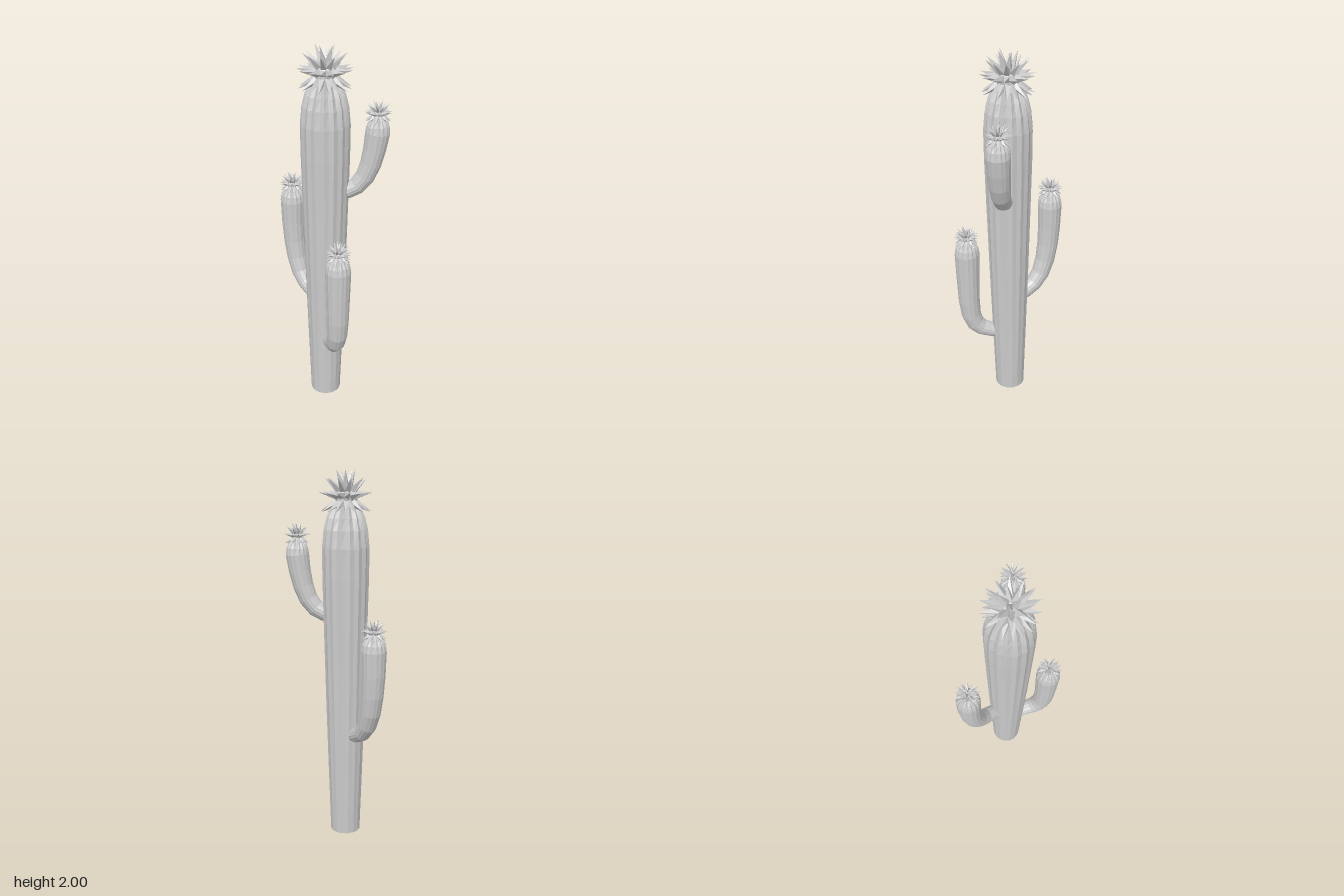
import * as THREE from 'three';
import { mergeGeometries } from 'three/addons/utils/BufferGeometryUtils.js';

const AXIS = { x: 0.03, z: 0.04 }; // centre line of the trunk
const SEGMENTS = 32, RIBS = 16;

const material = new THREE.MeshStandardMaterial({
  color: 0xcccccc, flatShading: true, side: THREE.DoubleSide,
});

// Ribbed stem swept along a path in a vertical plane through the trunk axis.
// Stations: [distance from axis, height, radius, rib depth as a fraction of the radius]
function ribbedStem(stations, angle) {
  const out = new THREE.Vector3(Math.cos(angle), 0, Math.sin(angle));
  const side = new THREE.Vector3(-out.z, 0, out.x);
  const positions = [], index = [];
  stations.forEach(([d, y, radius, depth], i) => {
    const a = stations[Math.max(i - 1, 0)], b = stations[Math.min(i + 1, stations.length - 1)];
    const length = Math.hypot(b[0] - a[0], b[1] - a[1]);
    const along = (b[0] - a[0]) / length, up = (b[1] - a[1]) / length;
    for (let j = 0; j < SEGMENTS; j++) {
      const t = (j / SEGMENTS) * Math.PI * 2;
      const r = radius * (1 - depth * (0.5 - 0.5 * Math.cos(t * RIBS)));
      const u = r * Math.cos(t), v = r * Math.sin(t);
      positions.push(
        AXIS.x + out.x * (d + u * up) + side.x * v,
        y - u * along,
        AXIS.z + out.z * (d + u * up) + side.z * v,
      );
      if (i > 0) {
        const k = (j + 1) % SEGMENTS, p = (i - 1) * SEGMENTS, q = i * SEGMENTS;
        index.push(p + j, q + j, p + k, p + k, q + j, q + k);
      }
    }
  });
  // Close the tip; the base stays open
  const last = stations[stations.length - 1], tip = positions.length / 3;
  positions.push(AXIS.x + out.x * last[0], last[1], AXIS.z + out.z * last[0]);
  for (let j = 0; j < SEGMENTS; j++) {
    index.push(tip - SEGMENTS + j, tip, tip - SEGMENTS + ((j + 1) % SEGMENTS));
  }
  const geometry = new THREE.BufferGeometry();
  geometry.setAttribute('position', new THREE.Float32BufferAttribute(positions, 3));
  geometry.setIndex(index);
  geometry.computeVertexNormals();
  return geometry;
}

// Rings of spikes around a small core: [elevation in degrees, count, length]
const SPIKE_RINGS = [
  [70, 5, 1.0], [42, 10, 0.98], [10, 14, 0.95], [-28, 16, 1.0],
];

function spikyCrown(size) {
  const parts = [new THREE.IcosahedronGeometry(size * 0.42, 1)];
  const up = new THREE.Vector3(0, 1, 0);
  SPIKE_RINGS.forEach(([elevation, count, length], ring) => {
    const e = THREE.MathUtils.degToRad(elevation);
    for (let i = 0; i < count; i++) {
      const a = ((i + (ring % 2) * 0.5) / count) * Math.PI * 2;
      const direction = new THREE.Vector3(
        Math.cos(e) * Math.cos(a), Math.sin(e), Math.cos(e) * Math.sin(a));
      const inner = size * 0.32, height = size * length - inner;
      const cone = new THREE.ConeGeometry(size * 0.15, height, 4, 1, true).toNonIndexed();
      cone.translate(0, inner + height / 2, 0);
      cone.applyQuaternion(new THREE.Quaternion().setFromUnitVectors(up, direction));
      parts.push(cone);
    }
  });
  return mergeGeometries(parts);
}

function addPart(group, name, geometry) {
  const mesh = new THREE.Mesh(geometry, material);
  mesh.name = name;
  group.add(mesh);
  return mesh;
}

// Arm: bend is a list of [distance, height]; it thickens outward and ends in a dome and crown
function addArm(group, name, angle, bend, reach, shoulder, radius) {
  const stations = bend.map(([d, y], i) =>
    [d, y, THREE.MathUtils.lerp(0.038, radius, i / bend.length), 0.03]);
  stations.push(
    [reach, shoulder, radius, 0.04],
    [reach, shoulder + 0.035, radius * 0.92, 0.08],
    [reach, shoulder + 0.065, radius * 0.72, 0.14],
    [reach, shoulder + 0.085, radius * 0.45, 0.14],
  );
  const arm = new THREE.Group();
  arm.name = name;
  addPart(arm, name + 'Stem', ribbedStem(stations, angle));
  const crown = addPart(arm, name + 'Crown', spikyCrown(0.073));
  crown.position.set(
    AXIS.x + Math.cos(angle) * reach, shoulder + 0.095, AXIS.z + Math.sin(angle) * reach);
  group.add(arm);
}

export function createModel() {
  const model = new THREE.Group();
  model.name = 'cactus';

  // Trunk, widening upward and closing in a ribbed dome
  addPart(model, 'trunk', ribbedStem([
    [0, 0, 0.083, 0.02], [0, 0.4, 0.096, 0.03], [0, 0.8, 0.108, 0.04],
    [0, 1.2, 0.118, 0.05], [0, 1.45, 0.124, 0.05], [0, 1.61, 0.125, 0.06],
    [0, 1.7, 0.116, 0.09], [0, 1.76, 0.101, 0.13], [0, 1.81, 0.08, 0.16],
    [0, 1.85, 0.05, 0.16],
  ], 0));
  const crown = addPart(model, 'trunkCrown', spikyCrown(0.148));
  crown.position.set(AXIS.x, 1.861, AXIS.z);

  // Three arms
  addArm(model, 'rightArm', Math.PI, [
    [0.05, 0.59], [0.11, 0.605], [0.165, 0.635], [0.21, 0.69],
    [0.24, 0.77], [0.257, 0.87], [0.264, 0.98],
  ], 0.265, 1.11, 0.066);
  addArm(model, 'leftFrontArm', Math.atan2(0.1, 0.205), [
    [0.06, 0.37], [0.11, 0.385], [0.16, 0.405], [0.195, 0.44],
    [0.217, 0.5], [0.226, 0.6], [0.228, 0.75],
  ], 0.228, 0.9, 0.067);
  addArm(model, 'leftBackArm', Math.atan2(-0.19, 0.175), [
    [0.06, 1.24], [0.115, 1.255], [0.16, 1.28], [0.2, 1.33],
    [0.228, 1.4], [0.246, 1.48],
  ], 0.258, 1.565, 0.062);

  return model;
}
